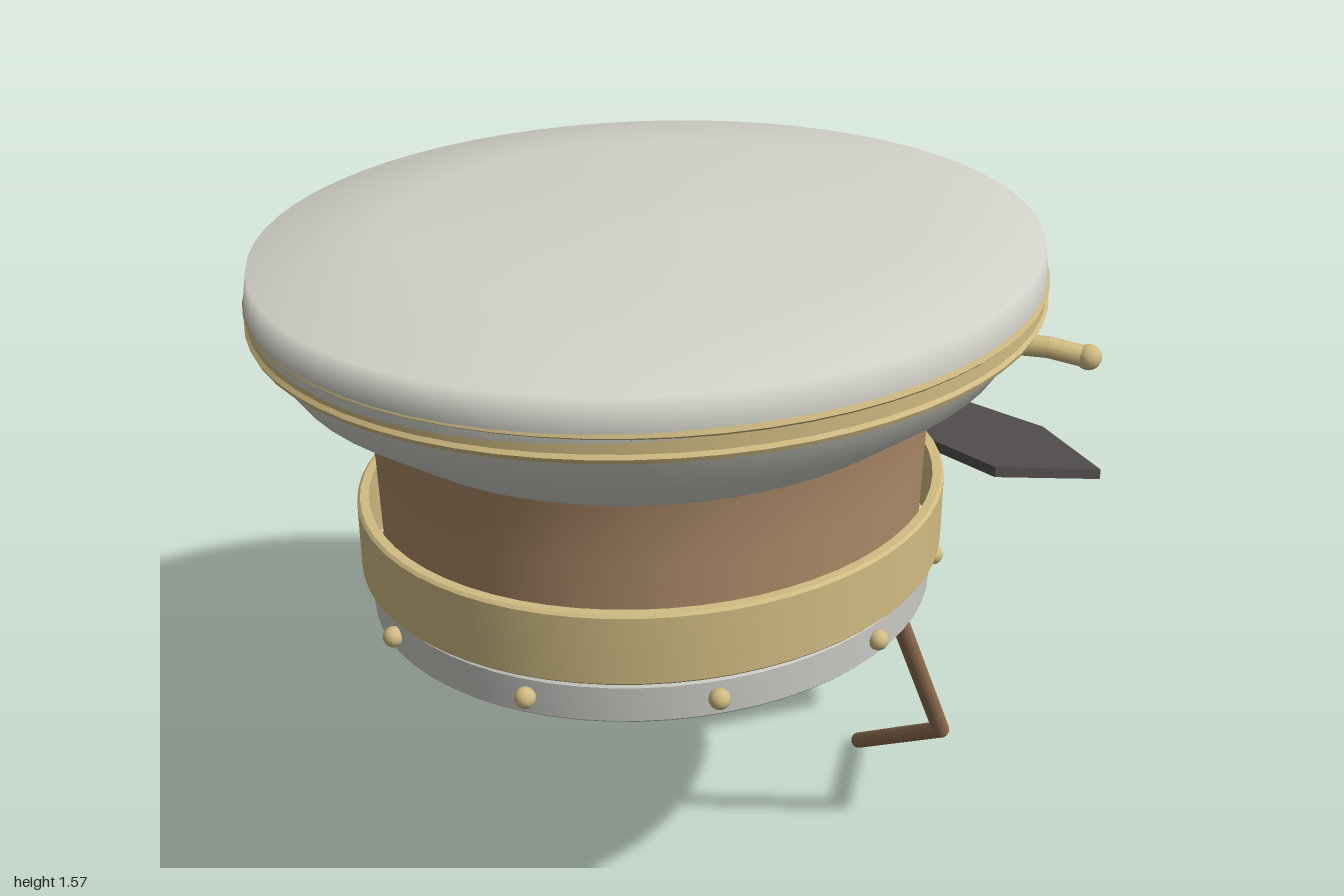
import * as THREE from 'three';
import { toCreasedNormals } from 'three/addons/utils/BufferGeometryUtils.js';

const mat = (name, color) => {
  const m = new THREE.MeshStandardMaterial({ color, side: THREE.DoubleSide });
  m.name = name;
  return m;
};
const V = (x, y, z) => new THREE.Vector3(x, y, z);

export function createModel() {
  const cloth = mat('pale cloth', 0xd2d2ca);
  const tan = mat('tan leather', 0xac8a68);
  const gold = mat('brass', 0xd0bb82);
  const silver = mat('grey piping', 0xc8c8c4);
  const dark = mat('dark visor', 0x524d4d);
  const brown = mat('brown cord', 0x8e6d50);
  const gem = mat('pale gem', 0xc8c8d0);

  const model = new THREE.Group();
  const CZ = 0.11; // centre of the oval head opening
  const OVAL = 1.085; // front-to-back stretch

  const add = (name, geo, material, parent = model) => {
    const mesh = new THREE.Mesh(geo, material);
    mesh.name = name;
    parent.add(mesh);
    return mesh;
  };
  // Oval surface of revolution around the head opening
  const oval = (points, sharp, stretch = OVAL) => {
    const g = new THREE.LatheGeometry(points.map(p => new THREE.Vector2(...p)), 64);
    g.scale(1, 1, stretch).translate(0, 0, CZ);
    return sharp ? toCreasedNormals(g, 0.5) : g;
  };
  const ring = (r0, r1, y0, y1) => {
    const b = 0.006;
    return oval([[r0, y0], [r1 - b, y0], [r1, y0 + b], [r1, y1 - b], [r1 - b, y1], [r0, y1], [r0, y0]], true);
  };
  // Round bar between two points
  const bar = (name, a, b, r, material, parent, r2 = r) => {
    const d = b.clone().sub(a);
    const m = add(name, new THREE.CylinderGeometry(r2, r, d.length(), 12), material, parent);
    m.position.copy(a).add(b).multiplyScalar(0.5);
    m.quaternion.setFromUnitVectors(V(0, 1, 0), d.normalize());
  };
  const ball = (name, p, r, material, parent) =>
    add(name, new THREE.SphereGeometry(r, 14, 10), material, parent).position.copy(p);
  // Jointed rod through several points
  const rod = (name, pts, r, material, parent) => pts.forEach((p, i) => {
    if (i) bar(name, pts[i - 1], p, r, material, parent);
    if (i && i < pts.length - 1) ball(name + 'Joint', p, r, material, parent);
  });

  // Crown and its trim
  add('crown', oval([[0.61, 1.195], [0.75, 1.3], [0.81, 1.39], [0.82, 1.45], [0.81, 1.515],
    [0.52, 1.557], [0, 1.573]]), cloth);
  add('crownTrim', oval([[0.8, 1.388], [0.822, 1.39], [0.826, 1.4], [0.82, 1.408], [0.82, 1.436],
    [0.826, 1.442], [0.822, 1.452], [0.8, 1.454]], true, 1.078), gold);

  // Head bands
  add('headBand', oval([[0.58, 0.715], [0.584, 0.9], [0.588, 1.05], [0.592, 1.13], [0.603, 1.2]]), tan);
  add('brassBand', ring(0.608, 0.633, 0.802, 0.964), gold);
  add('lowerBand', ring(0.578, 0.612, 0.7, 0.79), silver);

  // Ten studs around the lower band
  const studs = new THREE.Group();
  studs.name = 'studs';
  for (let i = 0; i < 10; i++) {
    const a = (i + 0.5) * Math.PI / 5;
    ball('stud', V(0.62 * Math.sin(a), 0.747, CZ + 0.675 * Math.cos(a)), 0.023, gold, studs);
  }
  model.add(studs);

  // Sloping faceted visor
  const outer = [[0.6, -0.37], [0.71, -0.67], [0.4, -0.95], [0, -1]];
  const inner = [[0, -0.57], [0.38, -0.44]];
  const mirror = list => list.map(([x, z]) => [-x, z]);
  const outline = [...outer, ...mirror(outer.slice(0, 3)).reverse(), ...mirror([inner[1]]), ...inner];
  const visor = new THREE.ExtrudeGeometry(new THREE.Shape(outline.map(p => new THREE.Vector2(...p))),
    { depth: 0.025, bevelEnabled: false });
  visor.rotateX(Math.PI / 2);
  const pos = visor.attributes.position;
  for (let i = 0; i < pos.count; i++) pos.setY(i, pos.getY(i) + 0.968 + (pos.getZ(i) + 0.37) * 0.286);
  visor.computeVertexNormals();
  add('visor', visor, dark);

  // Anchor badge
  const badge = new THREE.Group();
  badge.name = 'anchorBadge';
  const BZ = -0.588;
  bar('anchorShaft', V(0, 0.75, BZ), V(0, 1.22, BZ), 0.033, gold, badge);
  bar('anchorStock', V(-0.19, 1.147, BZ), V(0.19, 1.147, BZ), 0.028, gold, badge);
  const arc = new THREE.CatmullRomCurve3([[-0.2, 0.89], [-0.13, 0.79], [0, 0.75], [0.13, 0.79], [0.2, 0.89]]
    .map(([x, y]) => V(x, y, BZ)));
  add('anchorArms', new THREE.TubeGeometry(arc, 24, 0.032, 12), gold, badge);
  add('gem', new THREE.IcosahedronGeometry(0.042, 0), gem, badge).position.set(0, 0.985, -0.615);
  model.add(badge);

  for (const s of [-1, 1]) {
    ball('stockEnd', V(s * 0.19, 1.147, BZ), 0.034, gold, badge);
    bar('anchorFluke', V(s * 0.2, 0.88, BZ), V(s * 0.2, 0.945, BZ), 0.042, gold, badge, 0.004);
    // Side branches of the badge
    rod('branch', [V(s * 0.21, 1.05, -0.52), V(s * 0.39, 1.122, -0.67), V(s * 0.51, 1.118, -0.735),
      V(s * 0.605, 1.095, -0.79)], 0.026, gold, badge);
    ball('branchTip', V(s * 0.595, 1.1, -0.78), 0.031, gold, badge);
    // Hanging chin cords
    rod('chinCord', [V(s * 0.555, 0.75, -0.04), V(s * 0.57, 0.31, -0.26), V(s * 0.205, 0.02, -0.465)],
      0.02, brown, model);
  }
  return model;
}
